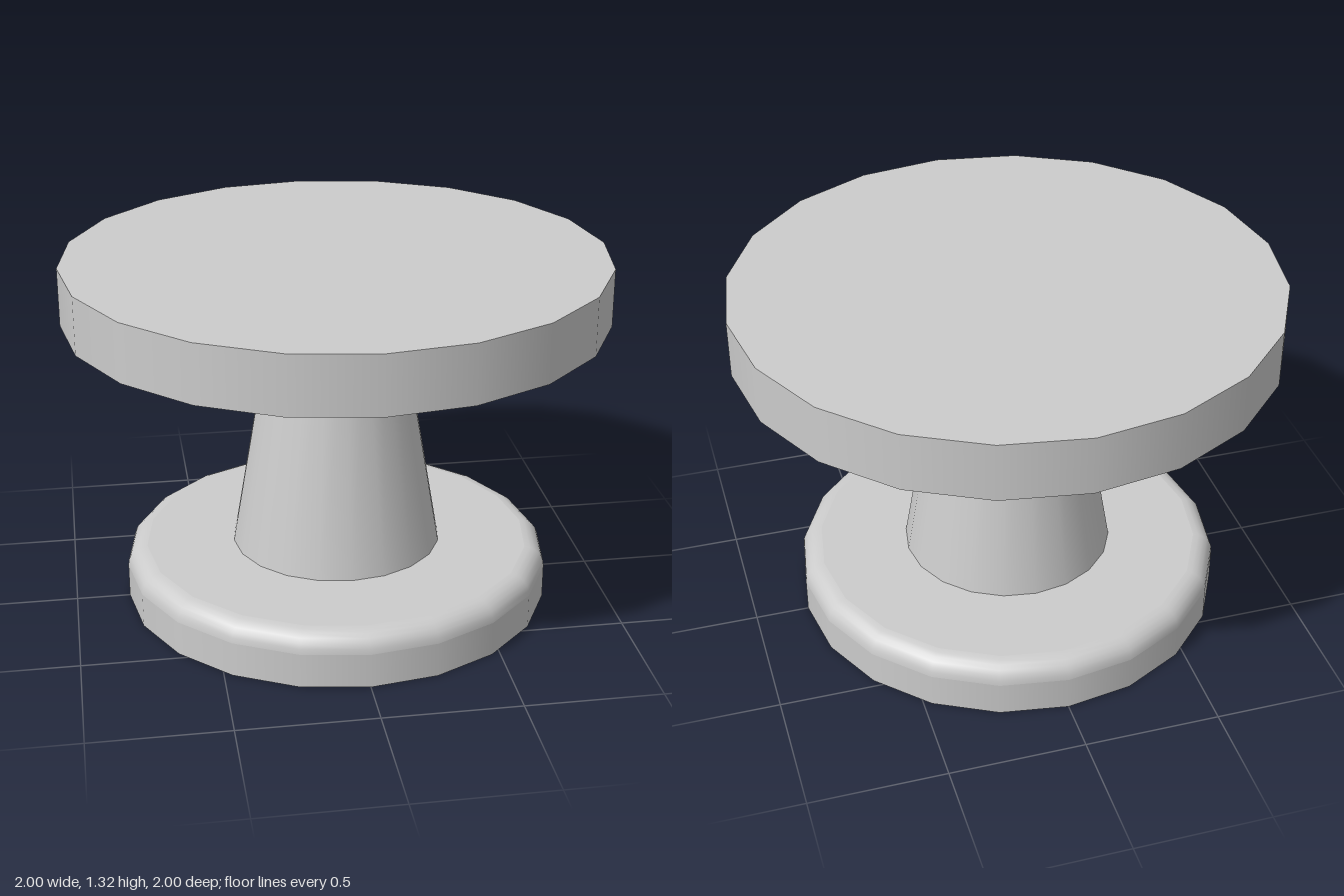
import * as THREE from 'three';

const SIDES = 20;

export function createModel() {
  const group = new THREE.Group();
  const material = new THREE.MeshStandardMaterial({ color: 0xcccccc });
  const add = (name, geometry, y = 0) => {
    const mesh = new THREE.Mesh(geometry, material);
    mesh.name = name;
    mesh.position.y = y;
    group.add(mesh);
  };

  // Base: disc with a rounded upper rim; the doubled point keeps the bottom edge sharp
  const radius = 0.8, height = 0.205, round = 0.075;
  const profile = [[0, 0], [radius, 0], [radius, 0]].map(([x, y]) => new THREE.Vector2(x, y));
  // doubled points where the rounding meets the wall and the flat top keep those faces even
  const arc = [];
  for (let i = 0; i <= 6; i++) {
    const a = (i / 6) * Math.PI / 2;
    arc.push(new THREE.Vector2(
      radius - round + round * Math.cos(a),
      height - round + round * Math.sin(a)));
  }
  profile.push(arc[0].clone(), ...arc, arc[6].clone(), new THREE.Vector2(0, height));
  add('base', new THREE.LatheGeometry(profile, SIDES));

  // Tapered column between base and top
  const bottom = 0.2, top = 1.11;
  add('column', new THREE.CylinderGeometry(0.238, 0.395, top - bottom, SIDES), (top + bottom) / 2);

  // Flat round top
  add('tabletop', new THREE.CylinderGeometry(1, 1, 0.215, SIDES), 1.217);

  return group;
}
